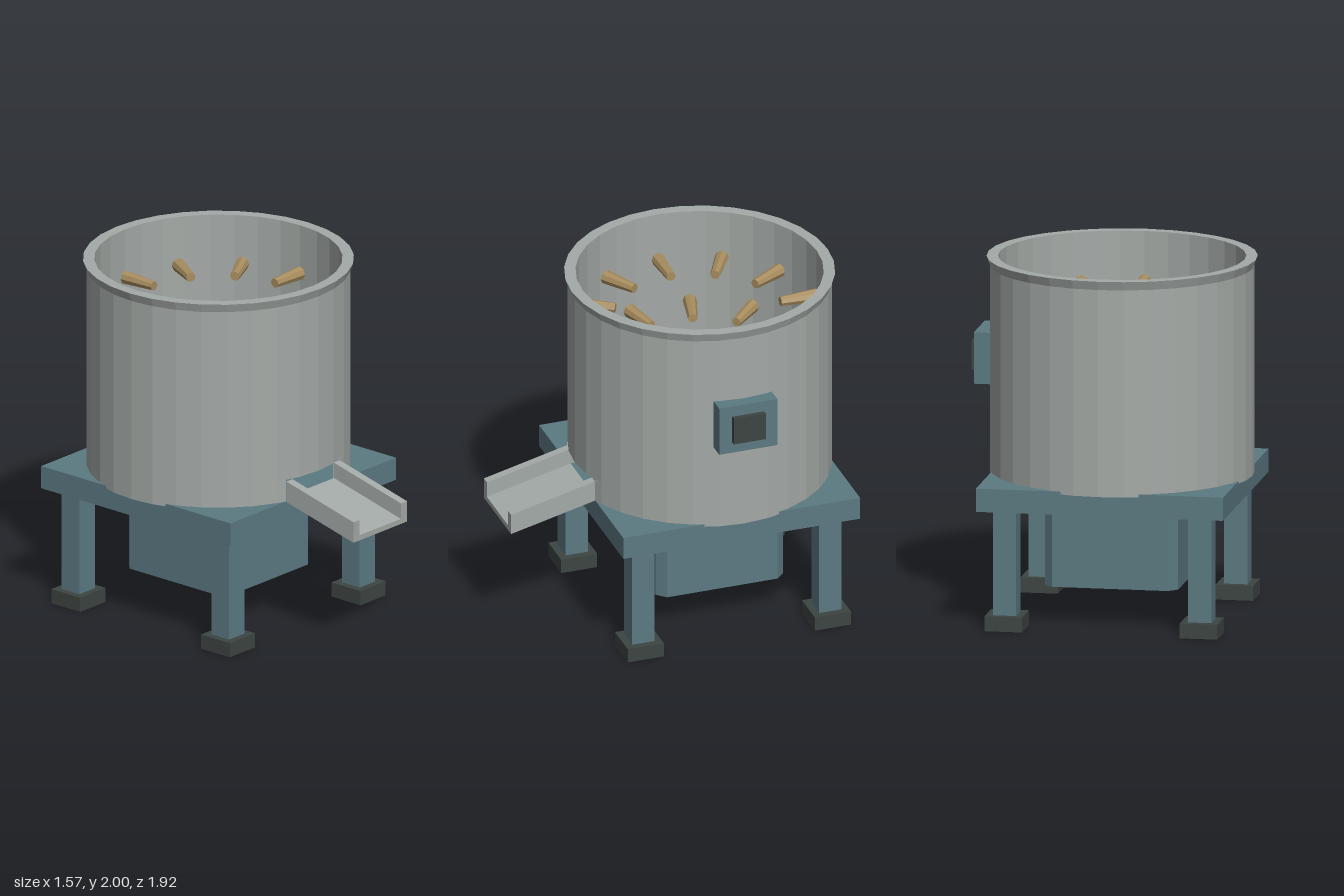
import * as THREE from 'three';

const AXIS_Z = -0.215;
const AXIS_X = -0.04;

const mat = (color) => new THREE.MeshStandardMaterial({ color, flatShading: true });

export function createModel() {
  const steel = mat(0xa4aaa7), blue = mat(0x5c7a82), dark = mat(0x3d4542), rubber = mat(0xa88d5f);
  const model = new THREE.Group();
  // machine group has its origin on the drum's axis
  const machine = new THREE.Group();
  machine.name = 'machine';
  machine.position.set(AXIS_X, 0, AXIS_Z);
  model.add(machine);

  const add = (name, geometry, material, x = 0, y = 0, z = 0, parent = machine) => {
    const mesh = new THREE.Mesh(geometry, material);
    mesh.name = name;
    mesh.position.set(x, y, z);
    parent.add(mesh);
    return mesh;
  };
  // box given by its size and bottom height
  const box = (name, w, h, d, material, x, bottom, z) =>
    add(name, new THREE.BoxGeometry(w, h, d), material, x, bottom + h / 2, z);

  // frame: table, legs and feet
  box('baseTable', 1.38, 0.13, 1.38, blue, 0, 0.675, 0);
  for (const sx of [-1, 1]) for (const sz of [-1, 1]) {
    box('leg', 0.13, 0.6, 0.13, blue, sx * 0.545, 0.08, sz * 0.545);
    box('foot', 0.21, 0.083, 0.21, dark, sx * 0.545, 0, sz * 0.545);
  }

  // motor housing with chamfered upright corners
  const a = 0.372, b = a - 0.05;
  const housing = new THREE.Shape([[a, -b], [a, b], [b, a], [-b, a], [-a, b], [-a, -b], [-b, -a], [b, -a]]
    .map(([x, y]) => new THREE.Vector2(x, y)));
  const housingGeo = new THREE.ExtrudeGeometry(housing, { depth: 0.475, bevelEnabled: false });
  housingGeo.rotateX(-Math.PI / 2);
  add('motorHousing', housingGeo, blue, 0, 0.205, 0);

  // upper drum with flared lip
  const R = 0.727, r = 0.682, cut = 0.93;
  const drumProfile = [[r, cut], [R, cut], [R, 1.95], [0.745, 2], [r, 2], [r, cut]]
    .map(([x, y]) => new THREE.Vector2(x, y));
  add('drum', new THREE.LatheGeometry(drumProfile, 32), steel);

  // lower drum wall, open at the front for the chute
  const gap = THREE.MathUtils.degToRad(18.3), step = Math.PI / 16;
  const angles = [gap];
  for (let i = 2; i <= 30; i++) angles.push(i * step);
  angles.push(2 * Math.PI - gap);
  const at = (radius) => (t) => new THREE.Vector2(radius * Math.sin(t), -radius * Math.cos(t));
  const wall = new THREE.Shape([...angles.map(at(R)), ...angles.slice().reverse().map(at(r))]);
  const wallGeo = new THREE.ExtrudeGeometry(wall, { depth: cut - 0.79, bevelEnabled: false });
  wallGeo.rotateX(-Math.PI / 2);
  add('drumLowerWall', wallGeo, steel, 0, 0.79, 0);

  // rotating disc on its shaft
  add('driveShaft', new THREE.CylinderGeometry(0.103, 0.103, 0.16, 24), dark, 0, 0.88, 0);
  add('rotatingDisc', new THREE.CylinderGeometry(0.643, 0.643, 0.05, 32), steel, 0, 0.965, 0);

  // rubber fingers standing on the disc
  const finger = new THREE.CylinderGeometry(0.027, 0.043, 0.22, 8);
  add('discFinger', finger, rubber, 0, 1.09, 0);
  for (let i = 0; i < 8; i++) {
    const t = i * Math.PI / 4, d = i % 2 ? 0.387 : 0.305;
    add('discFinger', finger, rubber, d * Math.sin(t), 1.09, d * Math.cos(t));
  }

  // staggered rows of fingers pointing inward from the drum wall
  const wallFinger = new THREE.CylinderGeometry(0.027, 0.04, 0.225, 8);
  wallFinger.rotateX(-Math.PI / 2);
  [1.17, 1.445, 1.72].forEach((y, row) => {
    for (let i = 0; i < 12; i++) {
      const t = (i + (row % 2) / 2) * Math.PI / 6;
      const f = add('wallFinger', wallFinger, rubber, 0.582 * Math.sin(t), y, 0.582 * Math.cos(t));
      f.rotation.y = t;
    }
  });

  // sloping chute: floor and two side walls with upright ends
  const slope = (width, height) => {
    const z0 = 0.69, z1 = 1.178;
    const side = new THREE.Shape([[z0, 0.8], [z1, 0.68], [z1, 0.68 + height], [z0, 0.8 + height]]
      .map(([x, y]) => new THREE.Vector2(x, y)));
    const g = new THREE.ExtrudeGeometry(side, { depth: width, bevelEnabled: false });
    g.rotateY(-Math.PI / 2);
    g.translate(width / 2, 0, 0);
    return g;
  };
  add('chuteFloor', slope(0.35, 0.03), steel);
  for (const s of [-1, 1]) add('chuteSide', slope(0.05, 0.12), steel, s * 0.198);

  // control box on the left side
  box('controlBox', 0.097, 0.288, 0.338, blue, 0.7485, 1.285, 0);
  box('controlPanel', 0.045, 0.16, 0.187, dark, 0.8015, 1.35, 0);

  return model;
}
